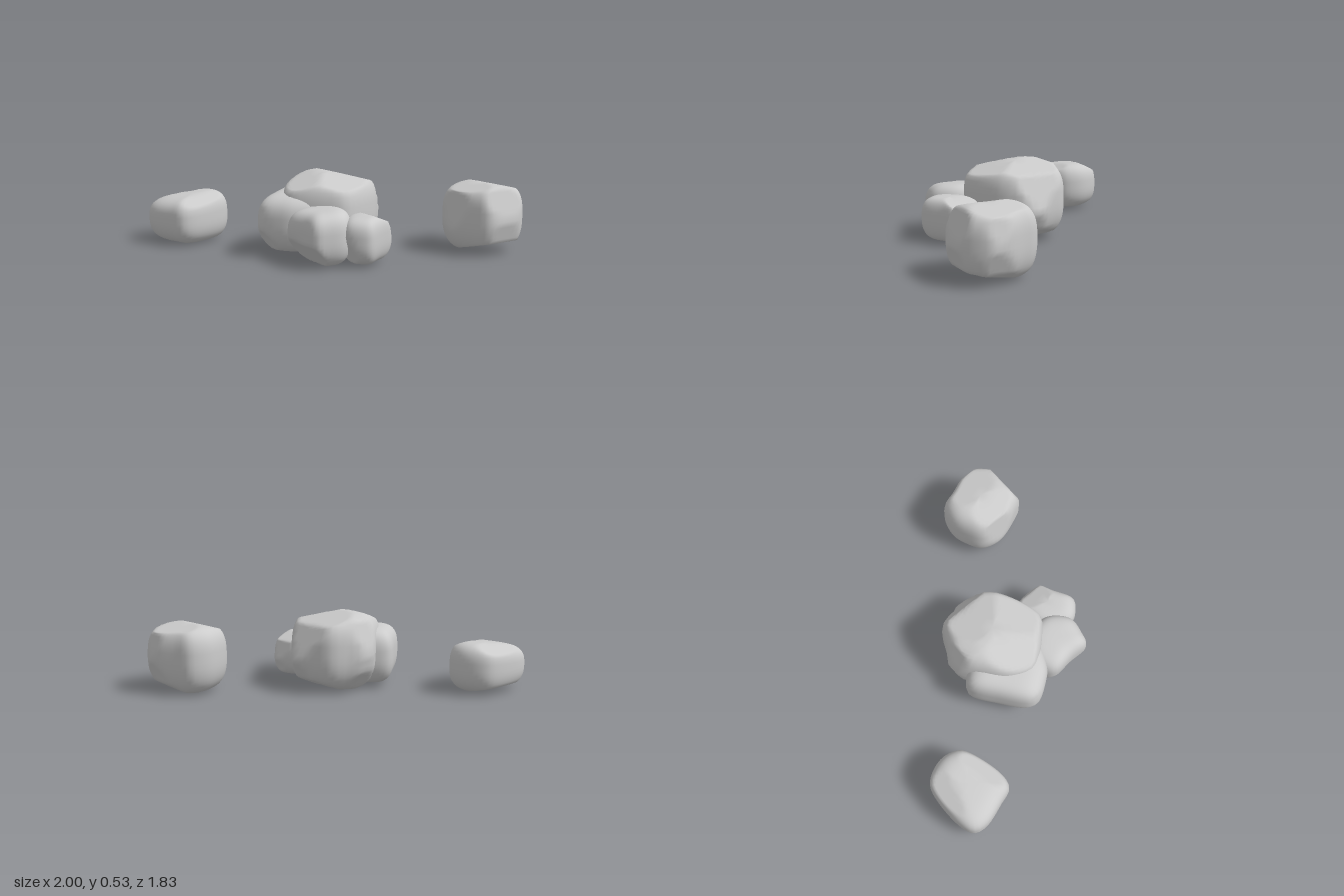
import * as THREE from 'three';

const SIDES = 48, RINGS = 25;

// Rounded-block profile: height -1..1 and outline scale at ring i, softer below than above
function profile(i) {
  const a = ((i + 0.5) / RINGS - 0.5) * Math.PI;
  const s = Math.sin(a);
  return { h: Math.sign(s) * Math.abs(s) ** (s < 0 ? 0.85 : 0.65), scale: Math.sqrt(Math.cos(a)) };
}

// Stack scaled copies of a plan outline (x, z pairs), tilt the top along x by slope,
// then flatten everything beyond each chip plane (normal and distance from the rock's middle)
function rockGeometry(bottomY, topY, slope, plan, chips) {
  const corners = plan.map(([x, z]) => new THREE.Vector3(x, 0, z));
  const ring = new THREE.CatmullRomCurve3(corners, true, 'centripetal').getSpacedPoints(SIDES).slice(0, SIDES);
  const c = new THREE.Box3().setFromPoints(ring).getCenter(new THREE.Vector3());
  const middle = new THREE.Vector3(c.x, (bottomY + topY) / 2, c.z);
  const planes = chips.map(([x, y, z, d]) => ({ n: new THREE.Vector3(x, y, z).normalize(), d }));
  const pos = [], index = [];
  const add = (h, s, p) => {
    const t = (h + 1) / 2, dx = (p.x - c.x) * s;
    const v = new THREE.Vector3(dx, (topY - bottomY) * (t - 0.5) + t * t * slope * dx, (p.z - c.z) * s);
    for (const { n, d } of planes) v.addScaledVector(n, -Math.max(0, v.dot(n) - d));
    pos.push(...v.add(middle));
  };
  for (let i = 0; i < RINGS; i++) {
    const { h, scale } = profile(i);
    ring.forEach((p) => add(h, scale, p));
  }
  add(-1, 0, c);
  add(1, 0, c);
  const pole = RINGS * SIDES, last = pole - SIDES;
  for (let j = 0; j < SIDES; j++) {
    const n = (j + 1) % SIDES;
    for (let a = j, b = n; a < last; a += SIDES, b += SIDES) {
      index.push(a, a + SIDES, b, b, a + SIDES, b + SIDES);
    }
    index.push(pole, j, n, pole + 1, last + n, last + j);
  }
  const g = new THREE.BufferGeometry();
  g.setAttribute('position', new THREE.Float32BufferAttribute(pos, 3));
  g.setIndex(index);
  g.computeVertexNormals();
  return g;
}

export function createModel() {
  const group = new THREE.Group();
  group.name = 'rockCluster';
  const stone = new THREE.MeshStandardMaterial({ color: 0xcccccc });
  const rock = (name, ...shape) => {
    const mesh = new THREE.Mesh(rockGeometry(...shape), stone);
    mesh.name = name;
    group.add(mesh);
  };

  // Central pile
  rock('largeBoulder', 0.01, 0.54, 0,
    [[-0.06, -0.29], [0.06, -0.23], [0.19, -0.16], [0.24, -0.04], [0.29, 0.09], [0.19, 0.22], [0.12, 0.29],
      [-0.18, 0.4], [-0.27, 0.34], [-0.4, 0.19], [-0.44, 0.1], [-0.38, -0.06], [-0.2, -0.21]],
    [[0.26, 0.97, 0, 0.25], [-0.35, 0.94, 0, 0.27], [0, 0.96, 0.29, 0.255], [0, 0.93, -0.37, 0.3],
      [0.89, 0.46, 0, 0.305], [0.88, -0.47, 0, 0.34], [0.4, -0.92, 0, 0.275],
      [0, 0.36, -0.93, 0.315], [0, -0.22, -0.98, 0.325], [0, -0.64, -0.77, 0.31], [0, -0.71, 0.71, 0.28]]);
  rock('backBoulder', 0.03, 0.42, 0.05,
    [[-0.24, -0.29], [-0.17, -0.25], [-0.01, 0], [-0.1, 0.18], [-0.3, 0.28], [-0.46, 0.22], [-0.52, 0.16],
      [-0.595, 0], [-0.4, -0.19]],
    [[-0.81, -0.59, 0, 0.255], [-0.97, 0.22, 0, 0.29]]);
  rock('leftSmallRock', 0.01, 0.36, 0.08,
    [[-0.35, 0.16], [-0.2, 0.27], [-0.18, 0.45], [-0.3, 0.58], [-0.43, 0.57], [-0.505, 0.54], [-0.51, 0.4], [-0.515, 0.23]],
    [[-0.75, -0.66, 0, 0.14], [-0.6, 0.8, 0, 0.2]]);
  rock('frontSmallRock', 0.02, 0.32, 0,
    [[0, 0.355], [0.03, 0.39], [0.07, 0.55], [-0.06, 0.63], [-0.19, 0.7], [-0.23, 0.69], [-0.31, 0.58], [-0.17, 0.38]],
    [[0.38, 0.92, 0, 0.146], [0.94, 0.34, 0, 0.166], [0.93, -0.37, 0, 0.185], [-0.92, -0.4, 0, 0.165]]);

  // Two outlying rocks
  rock('farRock', 0.01, 0.34, 0.12,
    [[-0.87, -0.905], [-0.58, -0.895], [-0.52, -0.84], [-0.48, -0.73], [-0.49, -0.64], [-0.53, -0.575],
      [-0.82, -0.48], [-0.91, -0.5], [-0.95, -0.6], [-1, -0.77], [-0.98, -0.86]],
    [[0, 0.89, -0.45, 0.185], [0, 0.9, 0.43, 0.177], [0, -0.97, -0.24, 0.155]]);
  rock('sideBoulder', 0.01, 0.47, 0,
    [[0.76, 0.39], [0.89, 0.43], [0.93, 0.53], [1, 0.73], [0.97, 0.8], [0.84, 0.905], [0.6, 0.885], [0.55, 0.8],
      [0.5, 0.63], [0.54, 0.49], [0.63, 0.43]],
    [[-0.28, 0.96, 0, 0.229], [0.21, 0.98, 0, 0.22], [0.96, 0.28, 0, 0.243], [0.92, -0.38, 0, 0.23],
      [-0.98, 0.18, 0, 0.23], [0.6, -0.8, 0, 0.236], [0, 0.36, 0.93, 0.245], [0, -0.26, 0.97, 0.25], [0, -0.97, 0.24, 0.19]]);
  return group;
}
